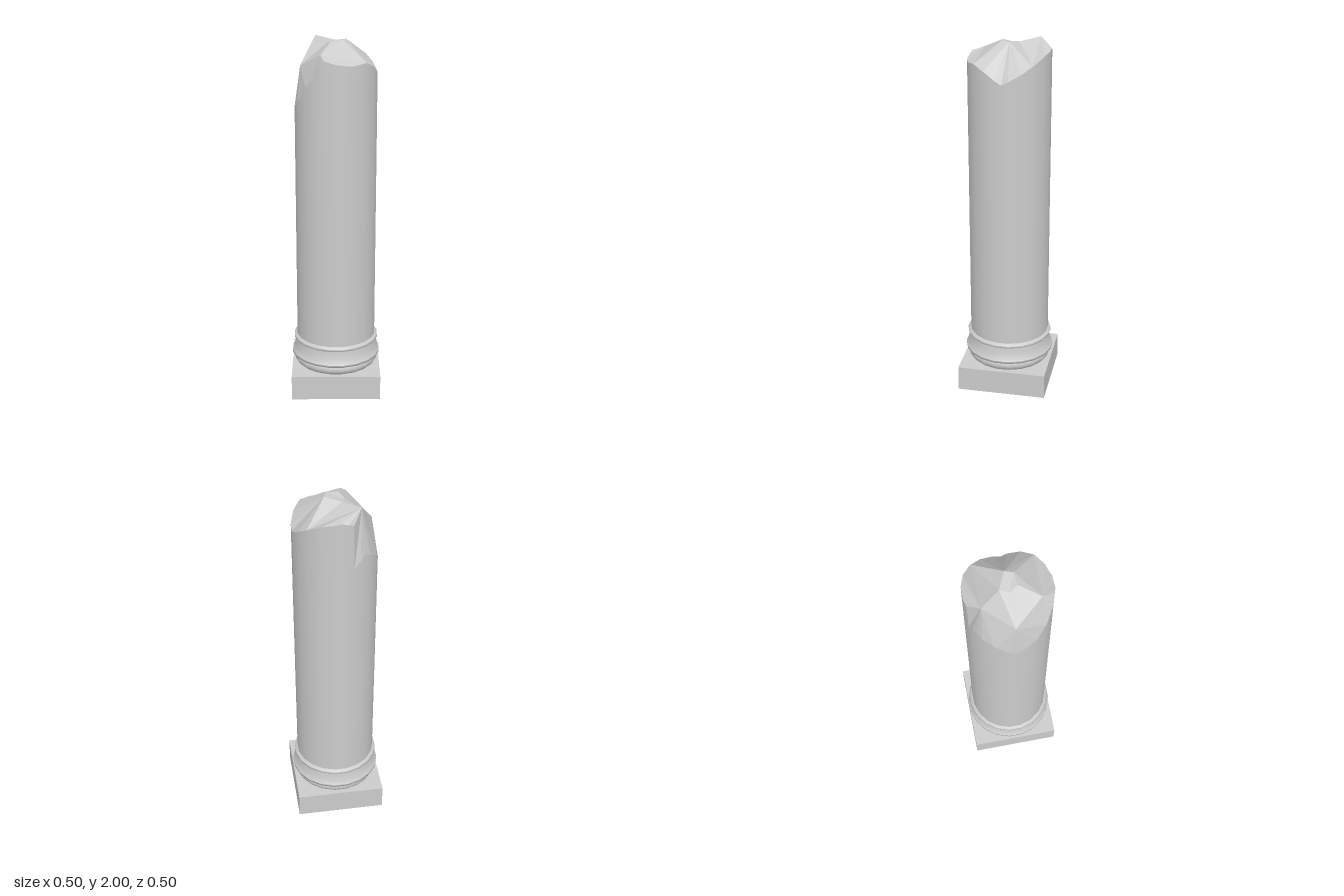
import * as THREE from 'three';

const SIDES = 20, STEP = 360 / SIDES, R = 0.224, rad = THREE.MathUtils.degToRad;
const material = new THREE.MeshStandardMaterial({ color: 0xcccccc });
const doubleSided = new THREE.MeshStandardMaterial({ color: 0xcccccc, side: THREE.DoubleSide });

// Broken rim: angle in degrees (from front towards +x) and height
const RIM = [
  [-17, 1.92], [0, 1.9], [20, 1.89], [45, 1.9], [65, 1.87], [90, 1.81], [110, 1.85],
  [133, 1.9], [155, 1.94], [180, 1.96], [197, 1.94], [198, 1.69], [215, 1.75],
  [240, 1.7], [268, 1.62], [285, 1.66], [300, 1.7], [315, 1.77], [330, 1.84], [343, 1.92],
];

// Inner points of the fracture
const P = {
  frontLeft: [-0.08, 1.94, 0.15], backPeak: [-0.11, 2.0, -0.15], side: [-0.19, 1.86, 0],
  p1: [-0.03, 1.985, -0.05], p2: [0.055, 2.0, -0.01], p3: [0.04, 2.0, 0.035],
  p4: [-0.025, 1.995, 0.04], p5: [-0.05, 1.98, -0.005],
};

// Inner points that the rim fans towards, each up to a given angle
const FANS = [
  [45, 'frontLeft'], [45, 'p3'], [133, 'p2'], [133, 'p1'],
  [240, 'backPeak'], [315, 'side'], [343, 'frontLeft'],
];

function add(group, name, geometry, mat = material) {
  const mesh = new THREE.Mesh(geometry, mat);
  mesh.name = name;
  group.add(mesh);
  return mesh;
}

// Point on the twenty-sided shaft outline
function outline(deg, y) {
  const off = (((deg + STEP / 2) % STEP) + STEP) % STEP - STEP / 2;
  const r = R * Math.cos(rad(STEP / 2)) / Math.cos(rad(off));
  return [r * Math.sin(rad(deg)), y, r * Math.cos(rad(deg))];
}

// Rim points joined with the corners of the shaft
function rimPoints() {
  const list = [];
  for (let i = 0; i < RIM.length - 1; i++) {
    const [a, ya] = RIM[i], [b, yb] = RIM[i + 1];
    list.push([a, ya]);
    for (let c = -9; c < 343; c += STEP) {
      if (c > a && c < b) list.push([c, ya + (yb - ya) * (c - a) / (b - a)]);
    }
  }
  list.push(RIM[RIM.length - 1]);
  return list;
}

// Smooth shaft wall up to the broken rim
function shaftGeometry(rim) {
  const pos = [], nor = [], index = [];
  rim.forEach(([a, y], i) => {
    for (const h of [0.29, y]) {
      pos.push(...outline(a, h));
      nor.push(Math.sin(rad(a)), 0, Math.cos(rad(a)));
    }
    if (i > 0) {
      const k = 2 * (i - 1);
      index.push(k, k + 2, k + 3, k, k + 3, k + 1);
    }
  });
  const g = new THREE.BufferGeometry();
  g.setAttribute('position', new THREE.Float32BufferAttribute(pos, 3));
  g.setAttribute('normal', new THREE.Float32BufferAttribute(nor, 3));
  g.setIndex(index);
  return g;
}

// Faceted fracture: fans from the rim, then the inner facets
function fractureGeometry(rim) {
  const pos = [];
  const tri = (...pts) => pts.forEach((p) => pos.push(...p));
  let f = 0;
  for (let i = 0; i < rim.length - 1; i++) {
    const a = outline(...rim[i]), b = outline(...rim[i + 1]);
    while (rim[i][0] >= FANS[f][0]) {
      tri(a, P[FANS[f + 1][1]], P[FANS[f][1]]);
      f++;
    }
    tri(a, b, P[FANS[f][1]]);
  }
  const inner = [
    ['frontLeft', 'p3', 'p4'], ['side', 'frontLeft', 'p4'], ['side', 'p4', 'p5'],
    ['side', 'p5', 'p1'], ['side', 'p1', 'backPeak'],
    ['p5', 'p4', 'p3'], ['p5', 'p3', 'p2'], ['p5', 'p2', 'p1'],
  ];
  inner.forEach((names) => tri(...names.map((n) => P[n])));
  const g = new THREE.BufferGeometry();
  g.setAttribute('position', new THREE.Float32BufferAttribute(pos, 3));
  g.computeVertexNormals();
  return g;
}

export function createModel() {
  const group = new THREE.Group();
  group.name = 'brokenColumn';

  // Square foot
  add(group, 'plinth', new THREE.BoxGeometry(0.5, 0.142, 0.5)).position.y = 0.071;

  // Base mouldings, one lathe each so their edges stay crisp
  const mouldings = {
    lowerRing: [[0.222, 0.142], [0.232, 0.152], [0.237, 0.165], [0.237, 0.18], [0.23, 0.192]],
    middleFillet: [[0.23, 0.192], [0.252, 0.198], [0.252, 0.21]],
    hollow: [[0.252, 0.21], [0.242, 0.225], [0.235, 0.25], [0.231, 0.27], [0.229, 0.285]],
    upperRing: [[0.229, 0.285], [0.24, 0.292], [0.24, 0.305], [0.222, 0.314]],
  };
  for (const [name, profile] of Object.entries(mouldings)) {
    const points = profile.map(([x, y]) => new THREE.Vector2(x, y));
    add(group, name, new THREE.LatheGeometry(points, SIDES, rad(STEP / 2)), doubleSided);
  }

  // Shaft with its broken top
  const rim = rimPoints();
  add(group, 'shaft', shaftGeometry(rim), doubleSided);
  add(group, 'fracture', fractureGeometry(rim), doubleSided);
  return group;
}
